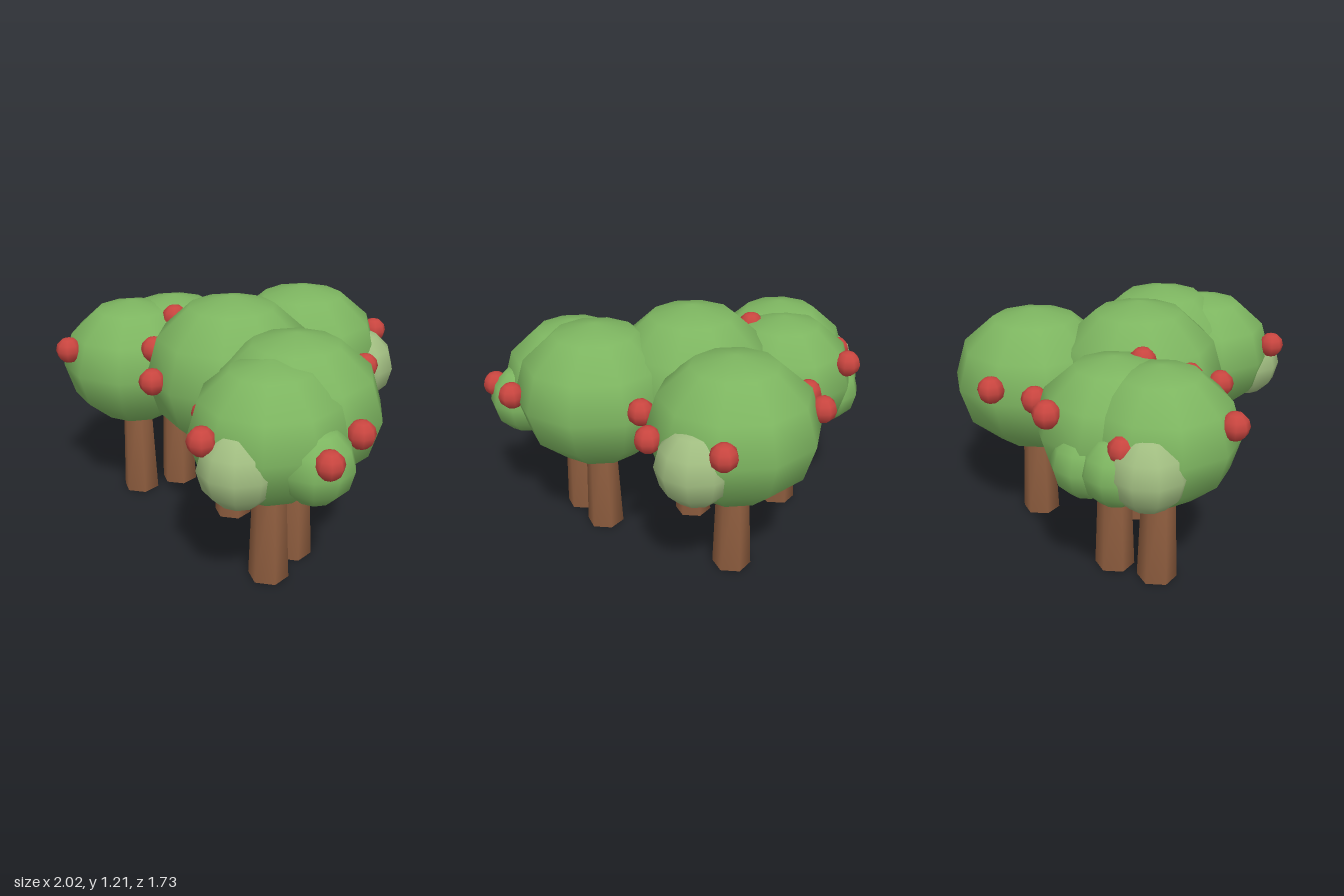
import * as THREE from 'three';
import { mergeVertices } from 'three/addons/utils/BufferGeometryUtils.js';

const material = (name, color) => {
  const m = new THREE.MeshStandardMaterial({ color });
  m.name = name;
  return m;
};

// Weld all corners so the low-poly form is shaded smoothly
function weld(geometry) {
  geometry.deleteAttribute('uv');
  geometry.deleteAttribute('normal');
  const g = mergeVertices(geometry);
  g.computeVertexNormals();
  return g;
}

export function createModel() {
  const leaf = material('leaf green', 0x7db560);
  const pale = material('pale leaf green', 0xa0bc80);
  const bark = material('bark brown', 0x915f40);
  const red = material('fruit red', 0xc8453f);

  const crownGeo = new THREE.SphereGeometry(1, 10, 6).rotateY(Math.PI / 2);
  const fruitGeo = new THREE.SphereGeometry(0.067, 8, 6);
  const trunkGeo = weld(new THREE.CylinderGeometry(0.075, 0.098, 0.6, 6).translate(0, 0.3, 0));

  const group = new THREE.Group();
  group.name = 'orchard';
  const add = (parent, name, geo, mat, [x, y, z], sx = 1, sy = sx) => {
    const mesh = new THREE.Mesh(geo, mat);
    mesh.name = name;
    mesh.position.set(x, y, z);
    mesh.scale.set(sx, sy, sx);
    parent.add(mesh);
  };

  // Each tree: crown centre, crown radius and half height, leaf clumps, fruit
  const trees = [
    { name: 'backTree', at: [0.035, 0.785, -0.44], r: 0.423, h: 0.367,
      clumps: [[pale, 0.30, 0.725, -0.60, 0.195]],
      fruit: [[0.26, 0.86, -0.80], [-0.36, 0.86, -0.585], [0.465, 0.805, -0.43]] },
    { name: 'middleTree', at: [0.015, 0.815, 0.095], r: 0.435, h: 0.395,
      clumps: [],
      fruit: [[-0.125, 0.84, 0.51]] },
    { name: 'leftTree', at: [0.50, 0.788, 0.19], r: 0.42, h: 0.367,
      clumps: [],
      fruit: [[0.425, 0.845, -0.235], [0.925, 0.81, 0.265]] },
    { name: 'frontLeftTree', at: [0.545, 0.77, 0.42], r: 0.377, h: 0.33,
      clumps: [[pale, 0.585, 0.693, 0.67, 0.188], [leaf, 0.82, 0.70, 0.445, 0.18]],
      fruit: [[0.95, 0.77, 0.52], [0.492, 0.83, 0.80], [0.18, 0.75, 0.46]] },
    { name: 'frontRightTree', at: [-0.567, 0.77, 0.235], r: 0.375, h: 0.33,
      clumps: [[pale, -0.82, 0.71, 0.20, 0.188], [leaf, -0.79, 0.69, 0.06, 0.165]],
      fruit: [[-0.697, 0.878, 0.565], [-0.27, 0.93, 0.36], [-0.86, 0.82, 0.09]] },
    { name: 'rightTree', at: [-0.477, 0.77, 0.02], r: 0.375, h: 0.33,
      clumps: [[leaf, -0.70, 0.68, -0.08, 0.17]],
      fruit: [[-0.41, 0.84, -0.365], [-0.70, 0.90, -0.257], [-0.345, 1.03, 0.14]] },
  ];

  for (const t of trees) {
    const tree = new THREE.Group();
    tree.name = t.name;
    group.add(tree);
    add(tree, 'trunk', trunkGeo, bark, [t.at[0], 0, t.at[2]]);
    add(tree, 'crown', crownGeo, leaf, t.at, t.r, t.h);
    for (const [mat, x, y, z, r] of t.clumps) add(tree, 'leafClump', crownGeo, mat, [x, y, z], r);
    for (const p of t.fruit) add(tree, 'fruit', fruitGeo, red, p);
  }
  return group;
}
